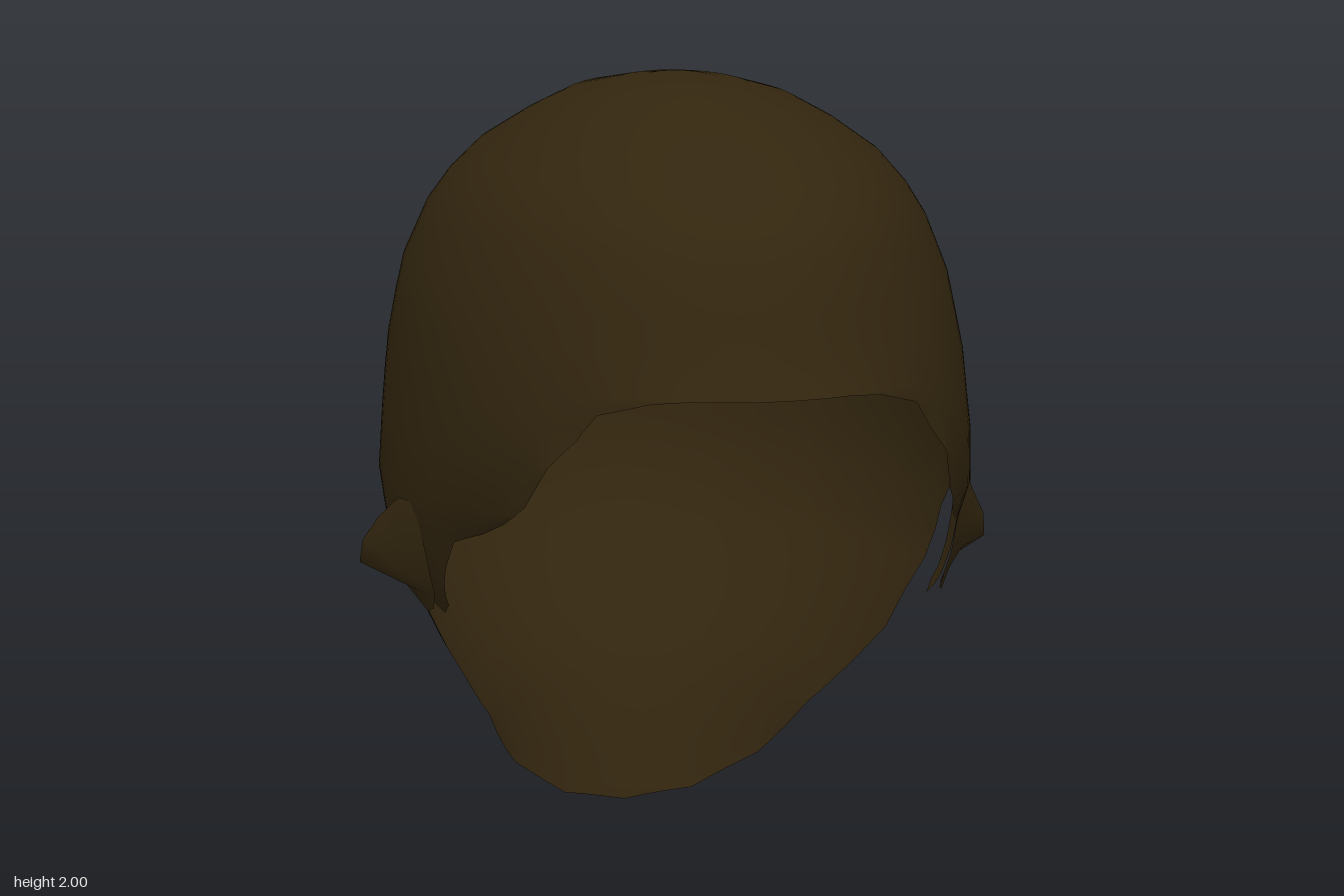
import * as THREE from 'three';
import { mergeVertices } from 'three/addons/utils/BufferGeometryUtils.js';

// Horizontal sections of the scalp: [height, half width, back z, front z]
const SECTIONS = [
  [2, 0, 0.04, 0.04], [1.995, 0.1, -0.11, 0.18], [1.98, 0.18, -0.21, 0.26],
  [1.94, 0.3, -0.4, 0.43], [1.88, 0.405, -0.53, 0.61], [1.8, 0.515, -0.68, 0.735],
  [1.72, 0.585, -0.78, 0.815], [1.64, 0.635, -0.85, 0.87], [1.5, 0.69, -0.94, 0.925],
  [1.4, 0.71, -0.975, 0.95], [1.3, 0.727, -1, 1], [1.2, 0.737, -1, 1],
  [1.1, 0.745, -0.995, 1.03], [0.95, 0.755, -0.98, 0.93], [0.85, 0.74, -0.96, 0.75],
  [0.75, 0.72, -0.92, 0.68], [0.68, 0.695, -0.88, 0.65], [0.6, 0.645, -0.83, 0.6],
  [0.5, 0.595, -0.765, 0.6], [0.4, 0.535, -0.7, 0.6], [0.28, 0.475, -0.64, 0.6],
  [0.15, 0.46, -0.6, 0.6], [0.03, 0.415, -0.565, 0.6], [0, 0.4, -0.56, 0.6],
];

// Hairline seen from the side, forehead to nape: [z, height]
const HAIRLINE = [
  [1, 1.3], [0.985, 1.3], [0.95, 1.3], [0.9, 1.29], [0.8, 1.25], [0.76, 1.18],
  [0.7, 1.1], [0.6, 0.98], [0.5, 0.92], [0.4, 0.88], [0.27, 0.84], [0.17, 0.72],
  [0.13, 0.65], [0.07, 0.62], [0.03, 0.65], [0.01, 0.75], [0, 0.88], [-0.05, 0.88],
  [-0.1, 0.82], [-0.115, 0.72], [-0.12, 0.6], [-0.13, 0.5], [-0.2, 0.4],
  [-0.28, 0.31], [-0.36, 0.22], [-0.43, 0.13], [-0.52, 0.03], [-0.56, 0],
];

// Lock flaring out over the ear: rows from top to bottom, front to rear
const EAR_LOCK = [
  [[0.74, 0.92, 0.08], [0.765, 0.925, 0.04], [0.77, 0.905, 0]],
  [[0.73, 0.87, 0.11], [0.775, 0.87, 0.03], [0.8, 0.865, -0.03]],
  [[0.715, 0.8, 0.12], [0.775, 0.8, 0.03], [0.835, 0.8, -0.06]],
  [[0.70, 0.73, 0.12], [0.755, 0.73, 0.03], [0.84, 0.74, -0.07]],
  [[0.685, 0.68, 0.11], [0.715, 0.68, 0.05], [0.735, 0.695, -0.02]],
  [[0.68, 0.635, 0.08], [0.69, 0.625, 0.06], [0.695, 0.64, 0.03]],
];

const lerp = THREE.MathUtils.lerp;

// Interpolated section at a height, with the centre line of its widest point
function sectionAt(y) {
  let k = 0;
  while (k < SECTIONS.length - 2 && SECTIONS[k + 1][0] > y) k++;
  const a = SECTIONS[k], b = SECTIONS[k + 1];
  const t = (a[0] - y) / (a[0] - b[0]);
  const [w, back, front] = [1, 2, 3].map((n) => lerp(a[n], b[n], t));
  const mid = lerp(-0.05, 0.04, Math.max(0, (y - 1.6) / 0.4));
  return { w, mid, back: mid - back, front: front - mid };
}

function scalpPoint(angle, y) {
  const s = sectionAt(y), c = Math.cos(angle);
  return [s.w * Math.sin(angle), y, s.mid + c * (c > 0 ? s.front : s.back)];
}

// Triangulate a grid of points given as columns, each running downwards
function gridGeometry(columns, closed) {
  const n = columns.length, m = columns[0].length, index = [];
  for (let i = 0; i < (closed ? n : n - 1); i++) {
    for (let j = 0; j < m - 1; j++) {
      const a = i * m + j, d = ((i + 1) % n) * m + j;
      index.push(a, a + 1, d + 1, a, d + 1, d);
    }
  }
  const g = new THREE.BufferGeometry();
  g.setAttribute('position', new THREE.Float32BufferAttribute(columns.flat(2), 3));
  g.setIndex(index);
  const merged = mergeVertices(g, 1e-5);
  merged.computeVertexNormals();
  return merged;
}

function hairCapGeometry() {
  // Turn the hairline into [angle, height] pairs, subdivided
  const keys = HAIRLINE.map(([z, y]) => {
    const s = sectionAt(y), d = z - s.mid;
    return [Math.acos(THREE.MathUtils.clamp(d / (d > 0 ? s.front : s.back), -1, 1)), y];
  });
  const half = [], steps = 3;
  for (let i = 0; i < keys.length - 1; i++) {
    for (let k = 0; k < steps; k++) {
      half.push([0, 1].map((n) => lerp(keys[i][n], keys[i + 1][n], k / steps)));
    }
  }
  half.push([Math.PI, 0]);
  const mirrored = half.slice(1, -1).reverse().map(([a, y]) => [2 * Math.PI - a, y]);
  // Each column runs from the crown down and stops at the hairline
  const columns = [...half, ...mirrored].map(([a, rim]) =>
    [...SECTIONS.map((s) => scalpPoint(a, Math.max(s[0], rim)))]);
  return gridGeometry(columns, true);
}

function earLockGeometry(side) {
  const columns = [2, 1, 0].map((c) => EAR_LOCK.map((row) => {
    const [x, y, z] = row[c];
    return [x * side, y, z];
  }));
  // Rear-to-front order faces outwards on the right, reversed on the left
  if (side > 0) columns.reverse();
  return gridGeometry(columns, false);
}

export function createModel() {
  const group = new THREE.Group();
  group.name = 'hair';
  const hair = new THREE.MeshStandardMaterial({ color: 0x33260f, side: THREE.DoubleSide });
  hair.name = 'dark brown hair';

  const add = (name, geometry) => {
    const mesh = new THREE.Mesh(geometry, hair);
    mesh.name = name;
    group.add(mesh);
  };
  add('hairCap', hairCapGeometry());
  add('leftEarLock', earLockGeometry(1));
  add('rightEarLock', earLockGeometry(-1));
  return group;
}
